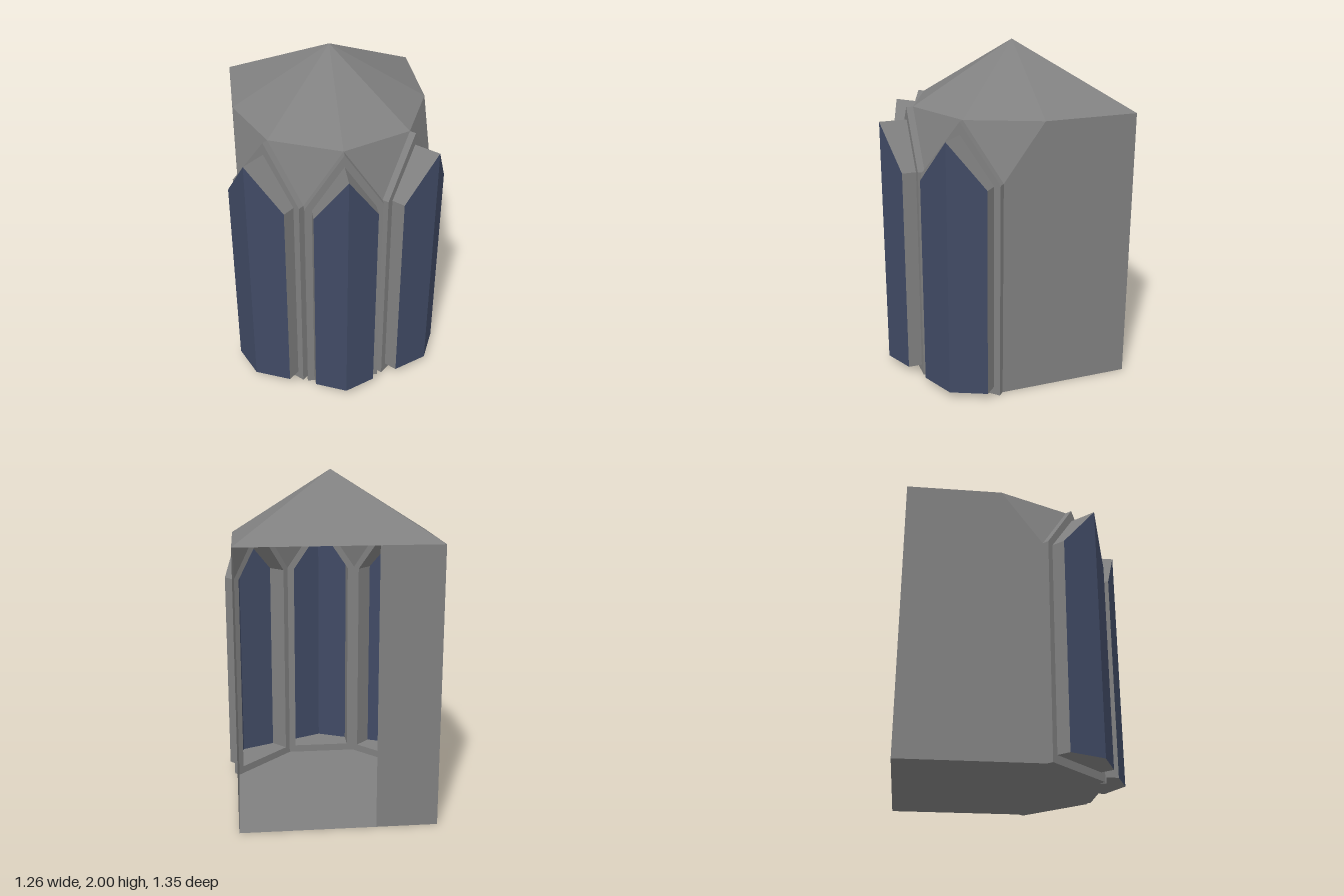
import * as THREE from 'three';

const GREY = 0x808080, BLUE = 0x404a64;
const material = (color) => new THREE.MeshStandardMaterial({ color, flatShading: true, side: THREE.DoubleSide });
const grey = material(GREY), blue = material(BLUE);

// Flat-shaded mesh from convex polygons, each a loop of [x, y, z] corners
function facets(name, mat, polygons) {
  const pos = [];
  for (const p of polygons)
    for (let i = 1; i < p.length - 1; i++) pos.push(...p[0], ...p[i], ...p[i + 1]);
  const g = new THREE.BufferGeometry();
  g.setAttribute('position', new THREE.Float32BufferAttribute(pos, 3));
  g.computeVertexNormals();
  const mesh = new THREE.Mesh(g, mat);
  mesh.name = name;
  return mesh;
}

const EAVE = 1.64, SPRING = 1.31, APEX = [0, 2, -0.137];
const W = 0.572, BACK = -0.675, FRONT = 0.47, SIDE = 0.12, HALF = 0.222;

// Pointed outline used for both the frame and its opening
const pointed = (w, y0, y1, peak) => [[-w, y0], [w, y0], [w, y1], [0, peak], [-w, y1]].map(([x, y]) => new THREE.Vector2(x, y));

// Pointed frame with a projecting bay; local z = 0 is the wall plane
function windowBay(name, half, w) {
  const group = new THREE.Group();
  group.name = name;
  const depth = 0.04, shoulder = 0.122, nose = 0.203, y0 = 0.047, y1 = 1.3, peak = 1.567;

  const shape = new THREE.Shape(pointed(half, 0, SPRING, EAVE));
  shape.holes.push(new THREE.Path(pointed(w, y0, y1, peak)));
  const frame = new THREE.Mesh(new THREE.ExtrudeGeometry(shape, { depth, bevelEnabled: false }), grey);
  frame.name = 'windowFrame';

  const panes = [], casing = [];
  for (const s of [-1, 1]) {
    const x = s * w;
    panes.push([[0, y0, nose], [x, y0, shoulder], [x, y1, shoulder], [0, peak, nose]]);
    casing.push([[x, y0, depth], [x, y0, shoulder], [x, y1, shoulder], [x, y1, depth]]);
    casing.push([[x, y1, depth], [x, y1, shoulder], [0, peak, nose], [0, peak, depth]]);
  }
  casing.push([[-w, y0, depth], [w, y0, depth], [w, y0, shoulder], [0, y0, nose], [-w, y0, shoulder]]);
  group.add(frame, facets('glassPanes', blue, panes), facets('bayCasing', grey, casing));
  return group;
}

export function createModel() {
  const model = new THREE.Group();
  model.name = 'bayWindowTower';

  // Roof rim at eave height, from the back left corner round the front
  const diagX = (W + HALF) / 2, diagZ = (SIDE + FRONT) / 2;
  const rim = [[W, BACK], [W, -0.12], [diagX, diagZ], [0, FRONT], [-diagX, diagZ], [-W, -0.12], [-W, BACK]]
    .map(([x, z]) => [x, EAVE, z]);
  model.add(facets('roof', grey, rim.map((p, i) => [p, APEX, rim[(i + 1) % rim.length]])));

  // Side walls and the slanted corner facets between the gables
  for (const s of [1, -1]) {
    const side = s > 0 ? 'left' : 'right';
    model.add(facets(side + 'Wall', grey, [[
      [s * W, 0, BACK], [s * W, EAVE, BACK], [s * W, EAVE, -0.12], [s * W, SPRING, SIDE], [s * W, 0, SIDE],
    ]]));
    model.add(facets(side + 'CornerFacets', grey, [
      [[s * W, SPRING, SIDE], [s * W, EAVE, -0.12], [s * diagX, EAVE, diagZ]],
      [[s * HALF, SPRING, FRONT], [s * diagX, EAVE, diagZ], [0, EAVE, FRONT]],
    ]));
  }

  // Back wall covers the right part only; the rest is an open doorway
  model.add(facets('backWall', grey, [[[-W, 0, BACK], [-W, EAVE, BACK], [-0.215, EAVE, BACK], [-0.215, 0, BACK]]]));

  model.add(facets('floor', grey, [[
    [-W, 0, BACK], [W, 0, BACK], [W, 0, SIDE], [HALF, 0, FRONT], [-HALF, 0, FRONT], [-W, 0, SIDE],
  ]]));

  // Front bay and two wider diagonal bays
  const front = windowBay('frontBay', HALF, 0.18);
  front.position.z = FRONT;
  model.add(front);
  for (const s of [1, -1]) {
    const bay = windowBay(s > 0 ? 'leftBay' : 'rightBay', Math.hypot(W - HALF, FRONT - SIDE) / 2, 0.208);
    bay.position.set(s * diagX, 0, diagZ);
    bay.rotation.y = s * Math.PI / 4;
    model.add(bay);
  }
  return model;
}
